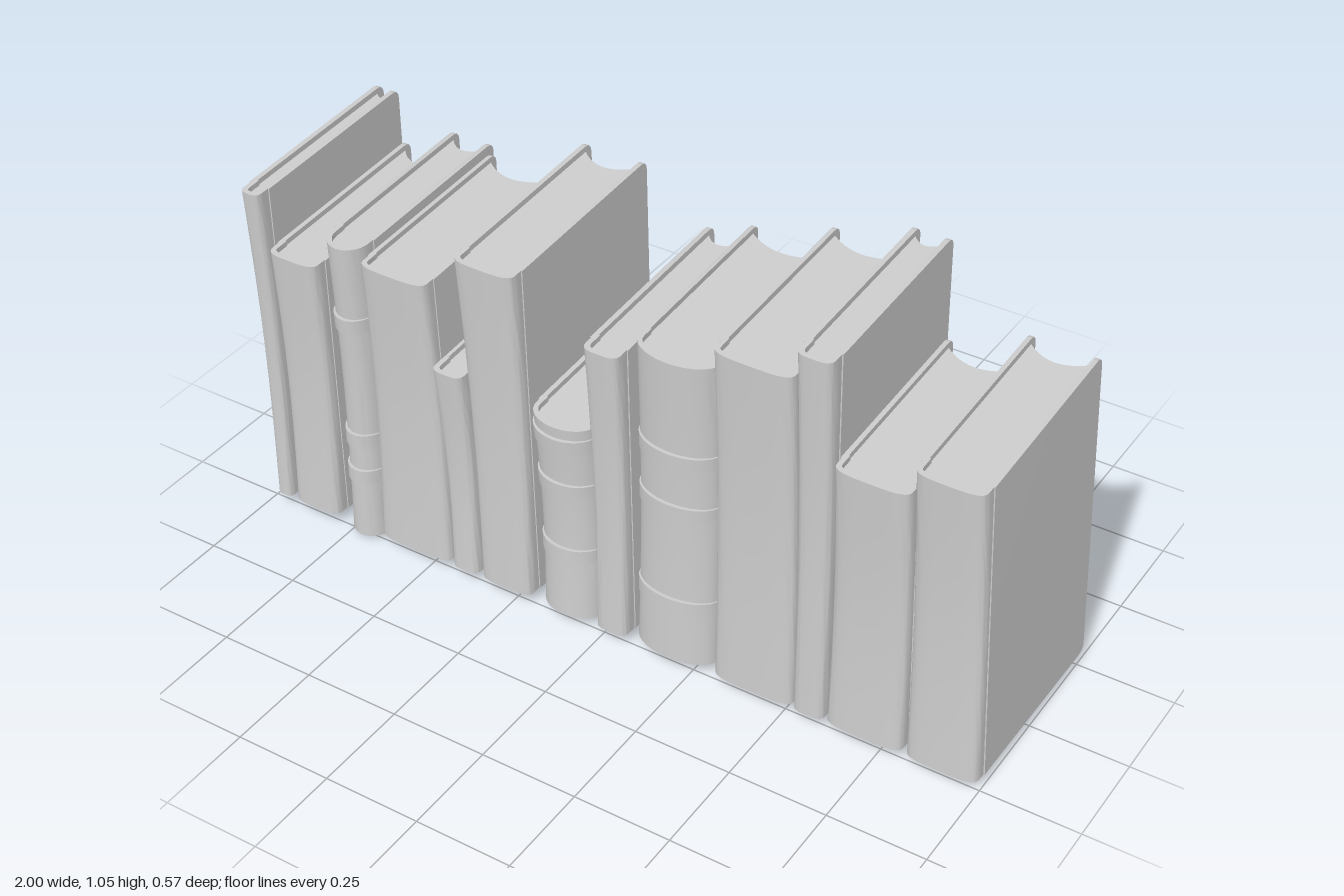
import * as THREE from 'three';
import { toCreasedNormals } from 'three/addons/utils/BufferGeometryUtils.js';

const BOARD = 0.012; // cover thickness

// top x range, bottom x range, top y, base y, back z, [spine roundness, rib heights]
const BOOKS = [
  [-1.0, -0.94, -0.98, -0.93, 0.95, 0.035, -0.27],
  [-0.935, -0.79, -0.925, -0.785, 0.80, 0.035, -0.283],
  [-0.775, -0.66, -0.765, -0.655, 0.885, 0.012, -0.275, true, [0.2, 0.31, 0.66]],
  [-0.66, -0.47, -0.655, -0.44, 0.86, 0.035, -0.27],
  [-0.465, -0.375, -0.435, -0.355, 0.64, 0.035, -0.27],
  [-0.39, -0.22, -0.35, -0.2, 0.97, 0.035, -0.283],
  [-0.205, -0.03, -0.185, -0.02, 0.61, 0.03, -0.268, true, [0.22, 0.42, 0.56]],
  [-0.04, 0.06, -0.015, 0.075, 0.86, 0.035, -0.275],
  [0.08, 0.297, 0.08, 0.302, 0.905, 0.032, -0.275, true, [0.2, 0.48, 0.63]],
  [0.295, 0.5, 0.31, 0.525, 0.975, 0.035, -0.272],
  [0.5, 0.595, 0.525, 0.61, 1.05, 0.035, -0.262],
  [0.6, 0.79, 0.61, 0.81, 0.785, 0.035, -0.265],
  [0.79, 0.962, 0.815, 1.0, 0.855, 0.035, -0.283],
];

// rounded front curve in plan, running left to right, as (x, -z) points
function spineArc(half, start, bulge, power, n = 20) {
  const pts = [];
  for (let i = 0; i <= n; i++) {
    const a = Math.PI * (1 - i / n), c = Math.cos(a), s = Math.max(0, Math.sin(a));
    pts.push(new THREE.Vector2(
      half * Math.sign(c) * Math.abs(c) ** (2 / power),
      -(start + bulge * s ** (2 / power))));
  }
  return pts;
}

// plan outline pulled upwards from y0 to y1
function raise(points, y0, y1, steps = 8) {
  const geo = new THREE.ExtrudeGeometry(new THREE.Shape(points), { depth: y1 - y0, steps, bevelEnabled: false });
  return geo.rotateX(-Math.PI / 2).translate(0, y0, 0);
}

// shell wrapped around the front of the pages
function spineShell(half, start, bulge, power, tail, y0, y1, steps, thick = BOARD) {
  const outer = spineArc(half, start, bulge, power);
  const inner = spineArc(half - thick, start, bulge - thick, power).reverse();
  const end = (x) => new THREE.Vector2(x, -(start - tail));
  return raise([end(-half), ...outer, end(half), end(half - thick), ...inner, end(-half + thick)], y0, y1, steps);
}

// cover board with rounded fore-edge corners, outer face at x = 0
function boardGeometry(back, front, h) {
  const r = 0.025, s = new THREE.Shape();
  s.moveTo(front, 0);
  s.lineTo(front, h);
  s.lineTo(back + r, h);
  s.quadraticCurveTo(back, h, back, h - r);
  s.lineTo(back, r);
  s.quadraticCurveTo(back, 0, back + r, 0);
  return new THREE.ExtrudeGeometry(s, { depth: BOARD, steps: 1, bevelEnabled: false, curveSegments: 5 })
    .rotateY(-Math.PI / 2);
}

function makeBook([t0, t1, b0, b1, top, base, back, round = false, ribs = []], material) {
  const book = new THREE.Group();
  book.name = 'book';
  const w = (t1 - t0 + b1 - b0) / 2, half = w / 2, h = top - base;
  const bulge = round ? 0.058 : Math.min(0.032, half), power = round ? 2 : 3.5;
  const start = 0.275 - bulge;

  // lean, slanted top and bottom, and a slight waist down the spine
  const warp = (geo) => {
    const p = geo.attributes.position;
    for (let i = 0; i < p.count; i++) {
      const x = p.getX(i), y = p.getY(i), z = p.getZ(i);
      const v = y / h, f = (z + 0.27) / 0.54;
      const left = THREE.MathUtils.lerp(b0, t0, v), right = THREE.MathUtils.lerp(b1, t1, v);
      const low = base + (f - 1) * 0.01, high = top - 0.03 * f;
      const waist = z > 0.15 ? 0.012 * Math.sin(Math.PI * THREE.MathUtils.clamp(v, 0, 1)) : 0;
      p.setXYZ(i, (left + right) / 2 + (x / w) * (right - left),
        THREE.MathUtils.lerp(low, high, v), z - waist);
    }
    return toCreasedNormals(geo, 0.6);
  };
  const add = (name, geo) => {
    const mesh = new THREE.Mesh(warp(geo), material);
    mesh.name = name;
    book.add(mesh);
  };

  // boards, with a hinge groove left before the spine
  add('rightBoard', boardGeometry(back, start - 0.014, h).translate(-half + BOARD, 0, 0));
  add('leftBoard', boardGeometry(back, start - 0.014, h).translate(half, 0, 0));
  add('spine', spineShell(half - 0.003, start, bulge, power, 0.03, 0, h, 10));

  // page block with a hollow fore-edge
  const ph = half - BOARD + 0.001;
  const hollow = Math.min(0.035, w * 0.25);
  const pages = spineArc(ph, start, bulge - BOARD, power);
  for (let i = 0; i <= 10; i++) {
    const u = 1 - i / 5;
    pages.push(new THREE.Vector2(ph * u, -(back + 0.022 + hollow * (1 - u * u))));
  }
  add('pages', raise(pages, 0.012, h - 0.014));

  // raised bands across rounded spines
  for (const y of ribs) {
    const v = y - base;
    add('spineRib', spineShell(half - 0.001, start, bulge + 0.009, power, 0, v - 0.02, v + 0.02, 2, 0.014));
  }
  return book;
}

export function createModel() {
  const model = new THREE.Group();
  model.name = 'bookRow';
  const material = new THREE.MeshStandardMaterial({ color: 0xcccccc });
  for (const spec of BOOKS) model.add(makeBook(spec, material));
  return model;
}
